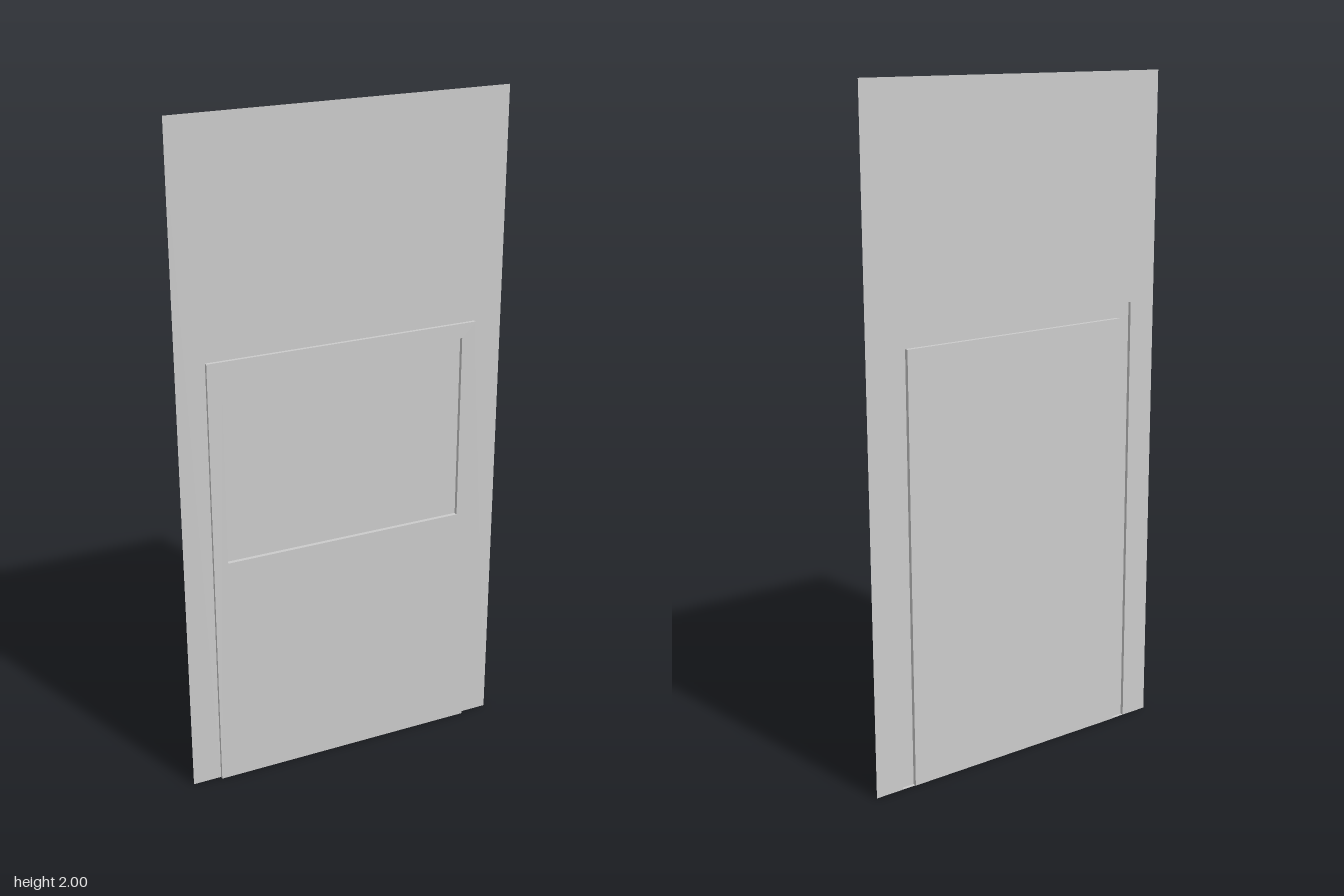
import * as THREE from 'three';

const material = new THREE.MeshStandardMaterial({ color: 0xcccccc, side: THREE.DoubleSide });

// Depths of the three layers
const FRONT = 0.006, WALL = -0.004, BACK = -0.006;
// Door outline and window opening
const DOOR_X = 0.413, DOOR_TOP = 1.332;
const INNER_X = 0.37, INNER_TOP = 1.288, SILL = 0.723;

function add(group, name, geometry) {
  const mesh = new THREE.Mesh(geometry, material);
  mesh.name = name;
  group.add(mesh);
  return mesh;
}

function outline(points) {
  return points.map(([x, y]) => new THREE.Vector2(x, y));
}

// Flat sheet facing sideways, from z0 to z1
function sideSheet(group, name, x, y0, y1, z0, z1) {
  const g = new THREE.PlaneGeometry(z1 - z0, y1 - y0);
  g.rotateY(Math.sign(x) * Math.PI / 2);
  g.translate(x, (y0 + y1) / 2, (z0 + z1) / 2);
  add(group, name, g);
}

// Flat horizontal sheet, from z0 to z1
function levelSheet(group, name, y, x0, x1, z0, z1) {
  const g = new THREE.PlaneGeometry(x1 - x0, z1 - z0);
  g.rotateX(-Math.PI / 2);
  g.translate((x0 + x1) / 2, y, (z0 + z1) / 2);
  add(group, name, g);
}

export function createModel() {
  const model = new THREE.Group();
  model.name = 'wallPanelWithDoor';

  // Wall sheet, notched around the door
  const wall = new THREE.Shape(outline([
    [-0.5, 0], [-DOOR_X, 0], [-DOOR_X, DOOR_TOP], [DOOR_X, DOOR_TOP],
    [DOOR_X, 0], [0.5, 0], [0.5, 2], [-0.5, 2],
  ]));
  add(model, 'wall', new THREE.ShapeGeometry(wall)).position.z = WALL;

  const door = new THREE.Group();
  door.name = 'door';
  model.add(door);

  // Raised door face with the window opening
  const face = new THREE.Shape(outline([
    [-DOOR_X, 0], [DOOR_X, 0], [DOOR_X, DOOR_TOP], [-DOOR_X, DOOR_TOP],
  ]));
  face.holes.push(new THREE.Path(outline([
    [-INNER_X, SILL], [-INNER_X, INNER_TOP], [INNER_X, INNER_TOP], [INNER_X, SILL],
  ])));
  add(door, 'doorFace', new THREE.ShapeGeometry(face)).position.z = FRONT;

  // Edges of the raised face and of the inner panel behind it
  for (const [s, side] of [[1, 'left'], [-1, 'right']]) {
    sideSheet(door, side + 'DoorEdge', s * DOOR_X, 0, DOOR_TOP, WALL, FRONT);
    sideSheet(door, side + 'PanelEdge', s * INNER_X, 0, INNER_TOP, BACK, FRONT);
    const [x0, x1] = s > 0 ? [INNER_X, DOOR_X] : [-DOOR_X, -INNER_X];
    levelSheet(door, side + 'BottomEdge', 0, x0, x1, WALL, FRONT);
  }
  levelSheet(door, 'doorTopEdge', DOOR_TOP, -DOOR_X, DOOR_X, WALL, FRONT);
  levelSheet(door, 'panelTopEdge', INNER_TOP, -INNER_X, INNER_X, BACK, FRONT);
  levelSheet(door, 'windowSill', SILL, -INNER_X, INNER_X, BACK, FRONT);
  levelSheet(door, 'panelBottomEdge', 0, -INNER_X, INNER_X, BACK, FRONT);

  // Back sheet: window pane above, lower panel below
  for (const [name, y0, y1] of [['windowPane', SILL, INNER_TOP], ['lowerBackPanel', 0, SILL]]) {
    const sheet = add(door, name, new THREE.PlaneGeometry(2 * INNER_X, y1 - y0));
    sheet.position.set(0, (y0 + y1) / 2, BACK);
  }

  return model;
}
